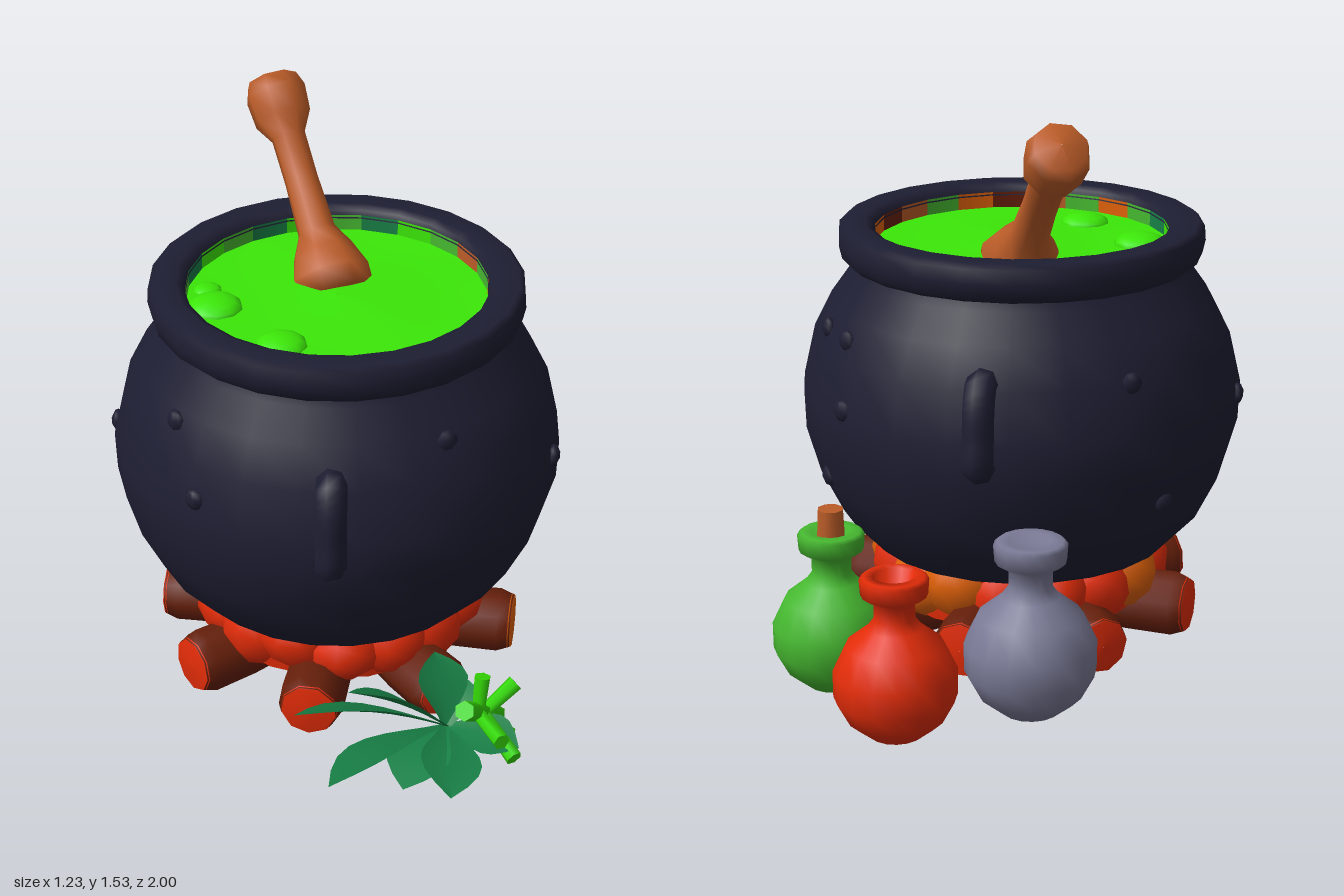
import * as THREE from 'three';

const mat = (name, color) => Object.assign(new THREE.MeshStandardMaterial({ color }), { name });
const V = (x, y, z) => new THREE.Vector3(x, y, z);

export function createModel() {
  const model = new THREE.Group();
  model.name = 'cauldronScene';
  const iron = mat('darkIron', 0x1e1e33), bark = mat('bark', 0x661f0a), red = mat('emberRed', 0xe22c08);
  const orange = mat('emberOrange', 0xde6008), brew = mat('brewGreen', 0x3ce808), wood = mat('spoonWood', 0xbb5c28);
  const grey = mat('greyGlass', 0x7a7a96), green = mat('greenGlass', 0x46b830);
  const leafMat = mat('leafGreen', 0x188046), sprigMat = mat('sprigGreen', 0x34d806);
  leafMat.side = THREE.DoubleSide;

  const add = (parent, name, geo, material, x = 0, y = 0, z = 0) => {
    const m = new THREE.Mesh(geo, material);
    m.name = name;
    m.position.set(x, y, z);
    parent.add(m);
    return m;
  };
  const group = (name, x = 0, y = 0, z = 0) => {
    const g = new THREE.Group();
    g.name = name;
    g.position.set(x, y, z);
    model.add(g);
    return g;
  };
  const lathe = (pts, sides) => new THREE.LatheGeometry(pts.map(p => new THREE.Vector2(...p)), sides);
  // turns a mesh so its y axis runs from a towards b
  const aim = (mesh, a, b) => {
    mesh.quaternion.setFromUnitVectors(V(0, 1, 0), b.clone().sub(a).normalize());
    return mesh;
  };

  // Pot with thick rolled rim
  const pot = group('cauldron', -0.003, 0, 0.08);
  const wall = [[0.33, 0.22], [0.42, 0.26], [0.505, 0.35], [0.565, 0.47], [0.603, 0.6], [0.607, 0.71],
    [0.575, 0.85], [0.525, 0.95], [0.468, 1.03]];
  add(pot, 'potBody', lathe([[0.001, 0.2], ...wall, [0.452, 1.07]], 24), iron);
  add(pot, 'potRim', lathe([[0.44, 1.055], [0.475, 1.057], [0.495, 1.075], [0.503, 1.11], [0.5, 1.15],
    [0.485, 1.163], [0.43, 1.163], [0.408, 1.152], [0.402, 1.13]], 24), iron);

  // Stained lining just above the brew: brownish towards the front right, green elsewhere
  const lining = lathe([[0.403, 1.14], [0.403, 1.05]], 24);
  lining.clearGroups();
  for (let i = 0; i < 24; i++) lining.addGroup(i * 6, 6, i < 9 || i > 21 ? i % 4 : 3 + i % 3);
  add(pot, 'stainedLining', lining, [wood, bark, orange, green, brew, leafMat]);

  // Brew surface with gentle swells, and bubbles
  const surface = new THREE.RingGeometry(0.001, 0.403, 24, 5);
  surface.rotateX(-Math.PI / 2);
  const sp = surface.attributes.position;
  for (let i = 0; i < sp.count; i++) {
    const x = sp.getX(i), z = sp.getZ(i);
    sp.setY(i, 0.012 * Math.sin(x * 9 + 1) * Math.cos(z * 8) * (1 - Math.hypot(x, z) / 0.41));
  }
  surface.computeVertexNormals();
  add(pot, 'brew', surface, brew, 0, 1.095, 0);
  for (const [x, z, r] of [[-0.31, 0.1, 0.075], [-0.1, 0.27, 0.07], [-0.35, 0.01, 0.04]]) {
    add(pot, 'bubble', new THREE.SphereGeometry(r, 10, 8), brew, x, 1.09, z).scale.y = 0.45;
  }

  // Close-fitting loop handles, front and back
  const loop = new THREE.CatmullRomCurve3([V(0, 0.86, 0.53), V(0, 0.865, 0.585), V(0, 0.82, 0.612),
    V(0, 0.74, 0.624), V(0, 0.66, 0.624), V(0, 0.65, 0.57)]);
  const handleGeo = new THREE.TubeGeometry(loop, 16, 0.042, 7);
  for (const turn of [0.14, Math.PI + 0.14]) add(pot, 'handle', handleGeo, iron).rotation.y = turn;

  // Small studs: angle round the pot (0 = front), height
  const radiusAt = y => {
    const i = Math.max(1, wall.findIndex(p => p[1] >= y));
    const [a, b] = [wall[i - 1], wall[i]];
    return a[0] + (b[0] - a[0]) * (y - a[1]) / (b[1] - a[1]);
  };
  for (const [a, y] of [[0.72, 0.93], [-0.72, 0.92], [-0.5, 0.76], [1.45, 0.71], [-1.45, 0.7], [2.2, 0.9],
    [2.45, 0.9], [2.55, 0.73], [2.3, 0.5], [-2.3, 0.85], [-2.1, 0.5]]) {
    const r = radiusAt(y) - 0.004;
    const stud = add(pot, 'stud', new THREE.SphereGeometry(0.03, 7, 5), iron, Math.sin(a) * r, y, Math.cos(a) * r);
    stud.rotation.y = a;
    stud.scale.z = 0.6;
  }

  // Star of eight logs: bevelled bark with a glowing end
  const fire = group('campfire', 0, 0, 0.07);
  const logGeo = lathe([[0.001, 0], [0.075, 0.005], [0.077, 0.2], [0.088, 0.33], [0.09, 0.46], [0.076, 0.497]], 9);
  const endGeo = lathe([[0.079, 0.49], [0.074, 0.5], [0.001, 0.504]], 9);
  for (let i = 0; i < 8; i++) {
    const a = i * Math.PI / 4;
    const dir = V(Math.sin(a), 0, Math.cos(a));
    aim(add(fire, 'log', logGeo, bark, 0, 0.092, 0), V(0, 0, 0), dir);
    aim(add(fire, 'logEnd', endGeo, i === 2 || i === 3 ? orange : red, 0, 0.092, 0), V(0, 0, 0), dir);
  }

  // Crumpled ember bed between the logs and the pot, orange towards the back right
  add(fire, 'emberBed', new THREE.CylinderGeometry(0.38, 0.36, 0.16, 16), red, 0, 0.18, 0);
  for (let i = 0; i < 16; i++) {
    const a = i * Math.PI / 8 + 0.2;
    const ember = add(fire, 'ember', new THREE.IcosahedronGeometry(0.115, 1), [4, 6, 7, 11].includes(i) ? orange : red,
      Math.sin(a) * 0.31, 0.185 + 0.018 * (i % 2), Math.cos(a) * 0.31);
    ember.rotation.set(i, i * 2, 0);
    ember.scale.y = 0.85;
  }

  // Spoon leaning in the brew
  const low = V(-0.04, 1.07, -0.05), high = V(-0.275, 1.495, -0.425);
  const spoonGeo = lathe([[0.001, -0.06], [0.11, -0.04], [0.112, 0.02], [0.085, 0.09], [0.053, 0.15], [0.047, 0.3],
    [0.048, 0.43], [0.08, 0.485], [0.086, 0.56], [0.072, 0.6], [0.001, 0.612]], 8);
  aim(add(model, 'spoon', spoonGeo, wood, low.x, low.y, low.z), low, high);

  // Round flasks behind the pot; mouthDepth is the height of the floor inside the lip
  const flask = (name, material, x, z, s, mouthDepth) => {
    const g = group(name, x, 0.035, z);
    g.scale.setScalar(s);
    add(g, 'flaskBody', lathe([[0.001, 0], [0.07, 0.005], [0.125, 0.05], [0.157, 0.11], [0.158, 0.18], [0.125, 0.25],
      [0.07, 0.295], [0.052, 0.32], [0.052, 0.365], [0.085, 0.385], [0.088, 0.425], [0.078, 0.434],
      [0.052, 0.434], [0.042, mouthDepth], [0.001, mouthDepth - 0.002]], 16), material);
    return g;
  };
  flask('redFlask', red, 0.025, -0.842, 1, 0.39);
  flask('greyFlask', grey, -0.255, -0.605, 1.09, 0.425);
  const corked = flask('greenFlask', green, 0.29, -0.61, 1, 0.425);
  add(corked, 'cork', new THREE.CylinderGeometry(0.035, 0.04, 0.1, 8), wood, 0, 0.445, 0);

  // Leaves: a plane widest beyond its middle, folded along the rib and rolled about it
  const herbs = group('herbs');
  const leaf = (base, tip, width, roll) => {
    const length = base.distanceTo(tip);
    const geo = new THREE.PlaneGeometry(1, 1, 2, 8);
    geo.rotateX(-Math.PI / 2);
    const p = geo.attributes.position;
    for (let i = 0; i < p.count; i++) {
      const t = p.getZ(i) + 0.5;
      const side = p.getX(i) * width * (0.22 * (1 - t) + Math.sin(Math.PI * Math.pow(t, 1.5)));
      p.setXYZ(i, side, Math.abs(side) * 0.2 + 0.05 * length * Math.sin(Math.PI * t), t * length);
    }
    geo.computeVertexNormals();
    const blade = add(herbs, 'leaf', geo, leafMat, base.x, base.y, base.z);
    blade.lookAt(tip);
    blade.rotateZ(roll);
  };
  for (const [x, y, z, w, roll] of [[0.13, 0.2, 1.0, 0.15, 0.35], [0.01, 0.28, 0.83, 0.13, 0.45],
    [0.43, 0.13, 0.91, 0.15, -0.2], [0.58, 0.13, 0.68, 0.13, 0.2], [0.13, 0.27, 0.7, 0.15, 0.5],
    [0.33, 0.28, 0.5, 0.14, 0.3], [0.3, 0.1, 0.86, 0.16, 0.1], [0.42, 0.2, 0.5, 0.13, 0]]) {
    leaf(V(0.38, 0.13, 0.62), V(x, y, z), w, roll);
  }

  // Bright sprig: a stem with side shoots
  const shoot = (a, b, r) => {
    const mid = a.clone().lerp(b, 0.5);
    const geo = new THREE.CylinderGeometry(r, r * 0.8, a.distanceTo(b), 6);
    aim(add(herbs, 'sprigShoot', geo, sprigMat, mid.x, mid.y, mid.z), a, b);
  };
  const foot = V(0.5, 0.05, 0.44), top = V(0.44, 0.28, 0.74);
  shoot(foot, top, 0.027);
  for (const [t, x, y, z] of [[0.45, 0.55, 0.22, 0.52], [0.4, 0.44, 0.04, 0.56], [0.5, 0.57, 0.11, 0.7],
    [0.6, 0.47, 0.29, 0.6], [0.65, 0.54, 0.2, 0.75], [0.45, 0.54, 0.06, 0.54]]) {
    shoot(foot.clone().lerp(top, t), V(x, y, z), 0.023);
  }
  return model;
}
